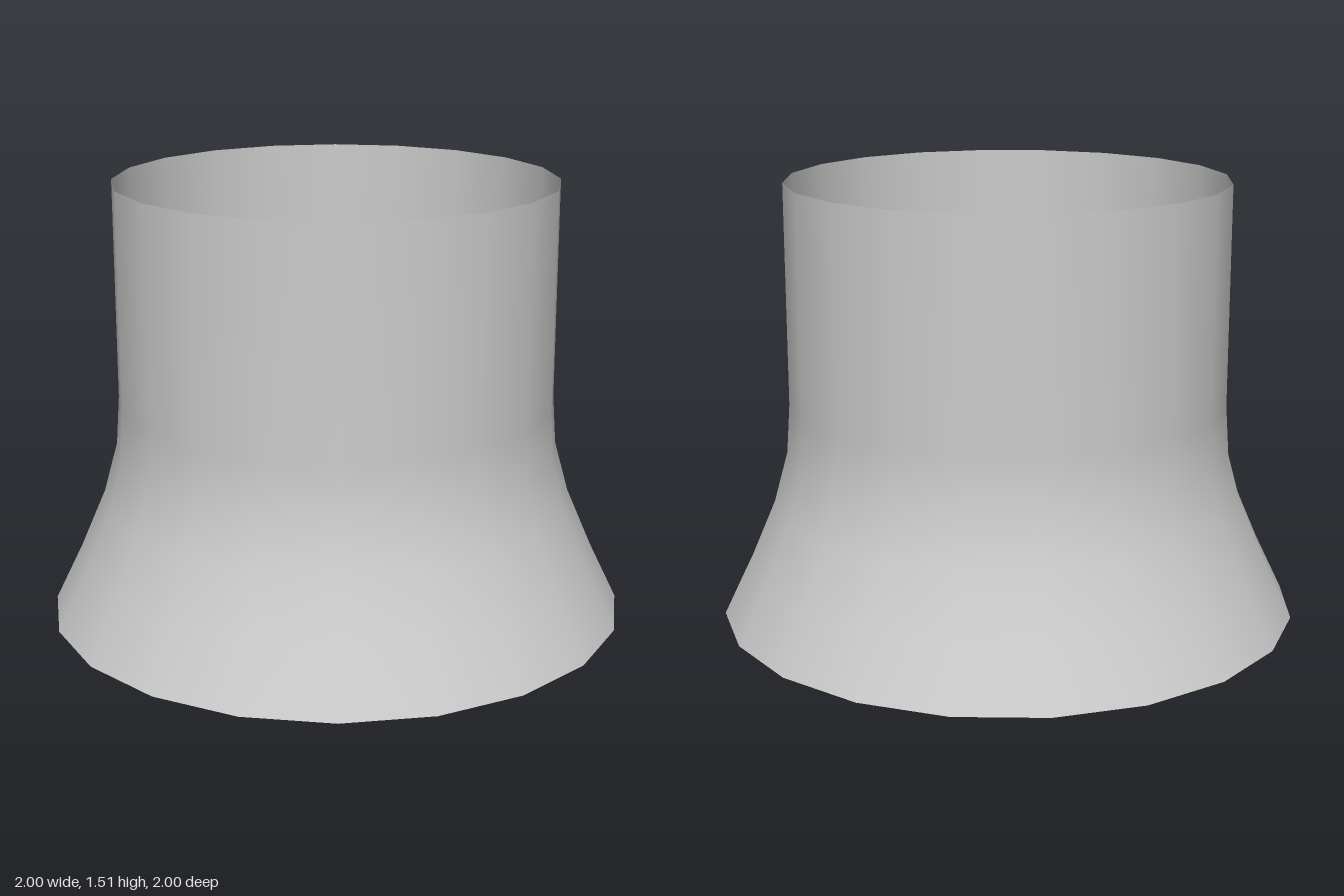
import * as THREE from 'three';

// Open-ended tube whose lower half flares out into a wide skirt.
export function createModel() {
  const group = new THREE.Group();
  group.name = 'flaredCollar';

  // Outline as [radius, height], from the foot of the flare to the open rim
  const profile = [
    [1.0, 0], [0.903, 0.2], [0.815, 0.405], [0.767, 0.58], [0.755, 0.75], [0.755, 1.51],
  ].map(([r, y]) => new THREE.Vector2(r, y));

  // Thin 20-sided wall with smooth shading, seen from inside and outside
  const wall = new THREE.Mesh(
    new THREE.LatheGeometry(profile, 20),
    new THREE.MeshStandardMaterial({ color: 0xcccccc, side: THREE.DoubleSide }),
  );
  wall.name = 'flaredWall';
  group.add(wall);

  return group;
}
